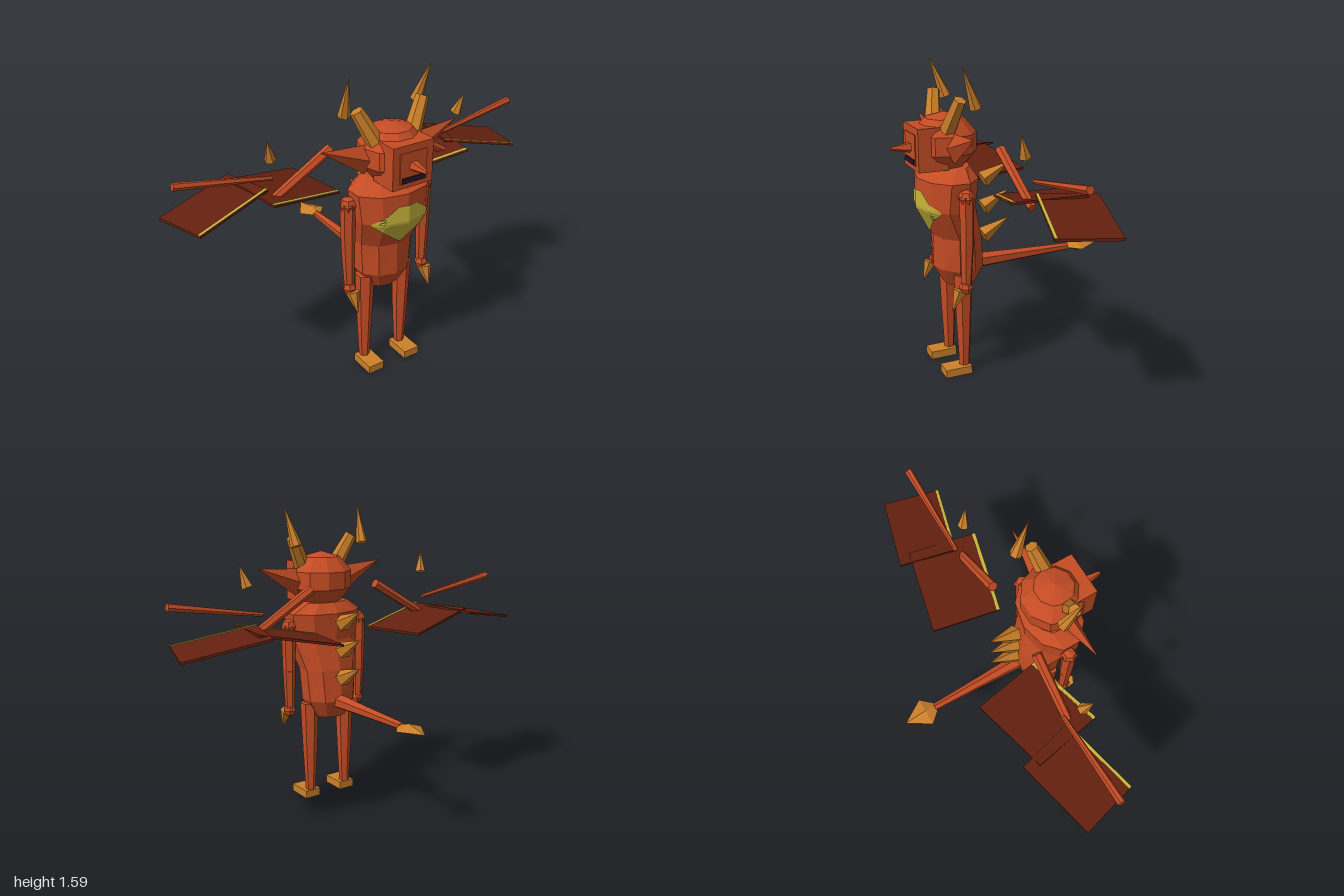
import * as THREE from 'three';

const mat = (name, color, side = THREE.FrontSide) =>
  new THREE.MeshStandardMaterial({ name, color, side, flatShading: true });

export function createModel() {
  const root = new THREE.Group();
  root.name = 'hornedCreature';
  const red = mat('redSkin', 0xc44c24);
  const tan = mat('tanHorn', 0xcc8029);
  const brown = mat('darkWing', 0x64200f);
  const yellow = mat('yellowBelly', 0xc8b43a, THREE.DoubleSide);
  const dark = mat('darkMouth', 0x2a1030);

  function add(name, geo, material) {
    const m = new THREE.Mesh(geo, material);
    m.name = name;
    root.add(m);
    return m;
  }
  // tapered limb or cone from a to b; flat squashes its local z
  function bone(name, a, b, r0, r1, material, sides = 6, flat = 1) {
    const p = new THREE.Vector3(...a), q = new THREE.Vector3(...b);
    const d = q.clone().sub(p);
    const m = add(name, new THREE.CylinderGeometry(r1, r0, d.length(), sides), material);
    m.position.copy(p).add(q).multiplyScalar(0.5);
    m.quaternion.setFromUnitVectors(new THREE.Vector3(0, 1, 0), d.normalize());
    m.scale.z = flat;
    return m;
  }
  function box(name, x, y, z, w, h, d, material) {
    const m = add(name, new THREE.BoxGeometry(w, h, d), material);
    m.position.set(x, y, z);
    return m;
  }
  function ball(name, x, y, z, r, material) {
    const m = add(name, new THREE.SphereGeometry(r, 6, 4), material);
    m.position.set(x, y, z);
    return m;
  }
  // skin between stacked rings, counter-clockwise from above, with end caps
  function loft(rings) {
    const n = rings[0].length, idx = [], last = (rings.length - 1) * n;
    for (let r = 0; r < rings.length - 1; r++)
      for (let j = 0; j < n; j++) {
        const a = r * n + j, b = r * n + (j + 1) % n;
        idx.push(a, b, b + n, a, b + n, a + n);
      }
    for (let j = 1; j < n - 1; j++) {
      idx.push(0, j + 1, j);
      idx.push(last, last + j, last + j + 1);
    }
    const g = new THREE.BufferGeometry();
    g.setAttribute('position', new THREE.Float32BufferAttribute(rings.flat(2), 3));
    g.setIndex(idx);
    g.computeVertexNormals();
    return g;
  }

  // Torso: y, half width, back z, front z
  const torso = [
    [0.465, 0.095, 0.16, 0.32], [0.56, 0.15, 0.115, 0.375], [0.73, 0.163, 0.13, 0.375],
    [0.885, 0.205, 0.165, 0.455], [1.03, 0.22, 0.15, 0.45], [1.085, 0.13, 0.19, 0.34],
  ];
  add('torso', loft(torso.map(([y, rx, z0, z1]) => Array.from({ length: 10 }, (_, j) => {
    const a = j * Math.PI / 5;
    return [rx * Math.sin(a), y, (z0 + z1) / 2 + (z1 - z0) / 2 * Math.cos(a)];
  }))), red);

  // Belly patch follows the torso front
  const lerp = THREE.MathUtils.lerp;
  function frontZ(x, y) {
    let i = 0;
    while (i < torso.length - 2 && torso[i + 1][0] < y) i++;
    const t = (y - torso[i][0]) / (torso[i + 1][0] - torso[i][0]);
    const [, rx, z0, z1] = torso[i].map((v, k) => lerp(v, torso[i + 1][k], t));
    const u = Math.abs(x) / rx;
    const c = u < 0.588 ? lerp(1, 0.809, u / 0.588) : lerp(0.809, 0.309, (u - 0.588) / 0.363);
    return (z0 + z1) / 2 + (z1 - z0) / 2 * c;
  }
  const patch = new THREE.PlaneGeometry(2, 1, 16, 16);
  const pp = patch.attributes.position;
  for (let i = 0; i < pp.count; i++) {
    const y = lerp(0.757, 0.975, pp.getY(i) + 0.5);
    const w = y > 0.885 ? lerp(0.175, 0.05, (y - 0.885) / 0.09) : lerp(0.01, 0.175, (y - 0.757) / 0.128);
    const x = pp.getX(i) * w;
    pp.setXYZ(i, x, y, frontZ(x, y) + 0.007);
  }
  patch.computeVertexNormals();
  add('bellyPatch', patch, yellow);

  // Head and face
  const head = add('head', new THREE.SphereGeometry(1, 10, 5), red);
  head.scale.set(0.17, 0.147, 0.165);
  head.position.set(0, 1.2, 0.305);
  box('muzzle', 0, 1.185, 0.4, 0.226, 0.21, 0.15, red);
  box('facePlate', 0, 1.18, 0.476, 0.15, 0.15, 0.008, red);
  box('mouth', 0, 1.122, 0.482, 0.13, 0.026, 0.008, dark);
  bone('noseSpike', [0, 1.185, 0.475], [0, 1.185, 0.575], 0.028, 0.009, red, 5);

  // Spine spikes
  for (const y of [0.69, 0.84, 0.985])
    bone('spineSpike', [0, y, 0.105], [0, y + 0.08, -0.045], 0.046, 0, tan, 5);

  // Tail
  bone('tailBase', [0, 0.555, 0.15], [0, 0.555, -0.1], 0.042, 0.03, red);
  bone('tailEnd', [0, 0.555, -0.1], [0, 0.555, -0.39], 0.03, 0.02, red);
  bone('tailBladeBack', [0, 0.555, -0.385], [0, 0.555, -0.443], 0.025, 0.078, tan, 4, 0.34);
  bone('tailBladeTip', [0, 0.555, -0.443], [0, 0.555, -0.565], 0.078, 0, tan, 4, 0.34);

  // Wing panel corners as x, y, z, counter-clockwise from above on the left side
  const panels = [
    [[0.23, 0.955, -0.235], [0.165, 0.945, 0.115], [0.57, 1.022, 0.205], [0.635, 1.034, -0.145]],
    [[0.6, 1.025, -0.215], [0.53, 1.038, 0.07], [0.925, 0.963, 0.18], [1, 0.95, -0.107]],
  ];

  for (const s of [1, -1]) {
    const P = (x, y, z) => [s * x, y, z];
    const slab = (name, c, y0, y1, material) => {
      const pts = c.map(([x, y, z]) => P(x, y, z));
      if (s < 0) pts.reverse();
      add(name, loft([y0, y1].map(o => pts.map(([x, y, z]) => [x, y + o, z]))), material);
    };

    // Ears and horns
    bone('ear', P(0.13, 1.187, 0.31), P(0.385, 1.277, 0.305), 0.075, 0, red, 4, 0.53);
    bone('hornBase', P(0.105, 1.27, 0.325), P(0.185, 1.425, 0.29), 0.043, 0.032, tan);
    bone('hornTip', P(0.205, 1.385, 0.22), P(0.228, 1.587, 0.296), 0.031, 0, tan);

    // Arms
    ball('shoulder', s * 0.225, 0.965, 0.28, 0.043, red);
    bone('upperArm', P(0.225, 0.975, 0.28), P(0.225, 0.73, 0.28), 0.038, 0.034, red);
    bone('forearm', P(0.225, 0.73, 0.28), P(0.222, 0.5, 0.285), 0.034, 0.024, red);
    ball('wrist', s * 0.222, 0.51, 0.288, 0.036, red);
    bone('claw', P(0.222, 0.5, 0.318), P(0.222, 0.393, 0.362), 0.037, 0, tan);

    // Legs
    bone('thigh', P(0.113, 0.54, 0.26), P(0.113, 0.265, 0.26), 0.05, 0.039, red);
    bone('shin', P(0.113, 0.265, 0.26), P(0.113, 0.035, 0.26), 0.039, 0.027, red);
    box('foot', s * 0.113, 0.021, 0.305, 0.09, 0.042, 0.14, tan);

    // Wings
    bone('innerWingBone', P(0.2, 1.18, 0.095), P(0.54, 0.98, 0.09), 0.026, 0.022, red);
    bone('outerWingBone', P(0.5, 1.09, 0.06), P(0.98, 1.172, 0.055), 0.011, 0.02, red);
    bone('wingClaw', P(0.54, 1.215, 0.127), P(0.566, 1.325, 0.158), 0.029, 0, tan, 5);
    for (const c of panels) {
      slab('wingPanel', c, -0.006, 0.006, brown);
      const inset = (a, b) => a.map((v, k) => lerp(v, b[k], 0.05));
      slab('wingTrim', [inset(c[1], c[0]), c[1], c[2], inset(c[2], c[3])], 0.0065, 0.009, yellow);
    }
  }
  return root;
}
